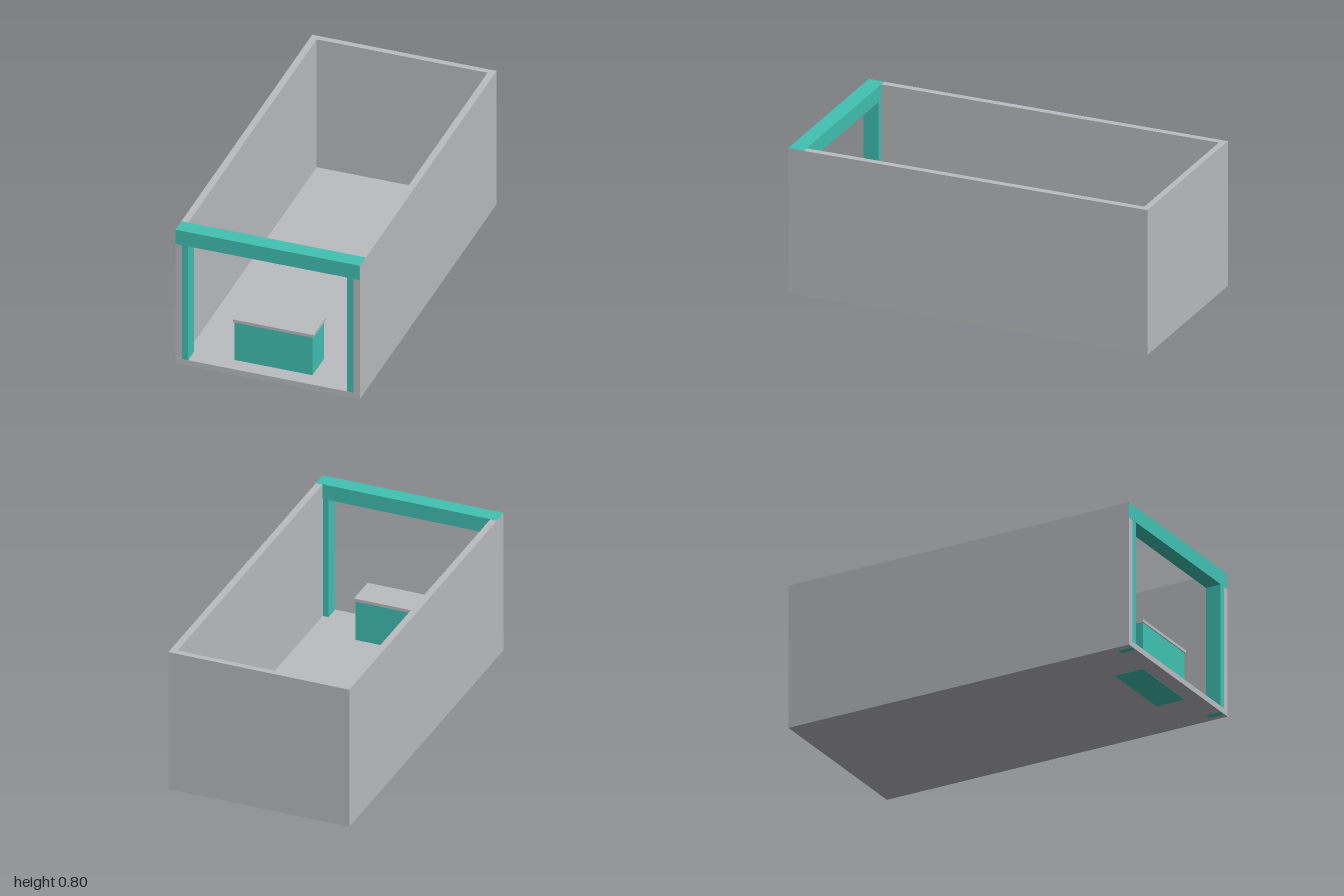
import * as THREE from 'three';

const grey = new THREE.MeshStandardMaterial({ name: 'grey', color: 0xbcbdc1 });
const teal = new THREE.MeshStandardMaterial({ name: 'teal', color: 0x41c2b3 });

export function createModel() {
  const model = new THREE.Group();
  model.name = 'shopUnit';

  // Box given by its extents along each axis
  const box = (name, material, [x0, x1], [y0, y1], [z0, z1]) => {
    const geometry = new THREE.BoxGeometry(x1 - x0, y1 - y0, z1 - z0);
    geometry.translate((x0 + x1) / 2, (y0 + y1) / 2, (z0 + z1) / 2);
    const mesh = new THREE.Mesh(geometry, material);
    mesh.name = name;
    model.add(mesh);
  };

  // Open-topped shell, stopping a hair short of the beam's top and front
  const top = 0.799, front = 0.999, inner = 0.463, floorTop = 0.033;
  box('floor', grey, [-0.5, 0.5], [0.001, floorTop], [-1, 1]);
  box('backWall', grey, [-inner, inner], [floorTop, top], [-1, -0.967]);

  for (const [side, s] of [['left', 1], ['right', -1]]) {
    const span = (a, b) => [Math.min(s * a, s * b), Math.max(s * a, s * b)];
    box(side + 'Wall', grey, span(inner, 0.5), [floorTop, top], [-1, front]);
    // Post beside the opening, let through the floor
    box(side + 'Post', teal, span(0.431, 0.465), [0, 0.716], [0.914, 0.9995]);
  }

  // Beam across the front opening
  box('frontBeam', teal, [-0.4995, 0.4995], [0.715, 0.8], [0.913, 1]);

  // Counter with an overhanging top
  box('counterBody', teal, [-0.212, 0.212], [0, 0.261], [0.75, 0.915]);
  box('counterTop', grey, [-0.218, 0.218], [0.26, 0.277], [0.742, 0.92]);

  return model;
}
